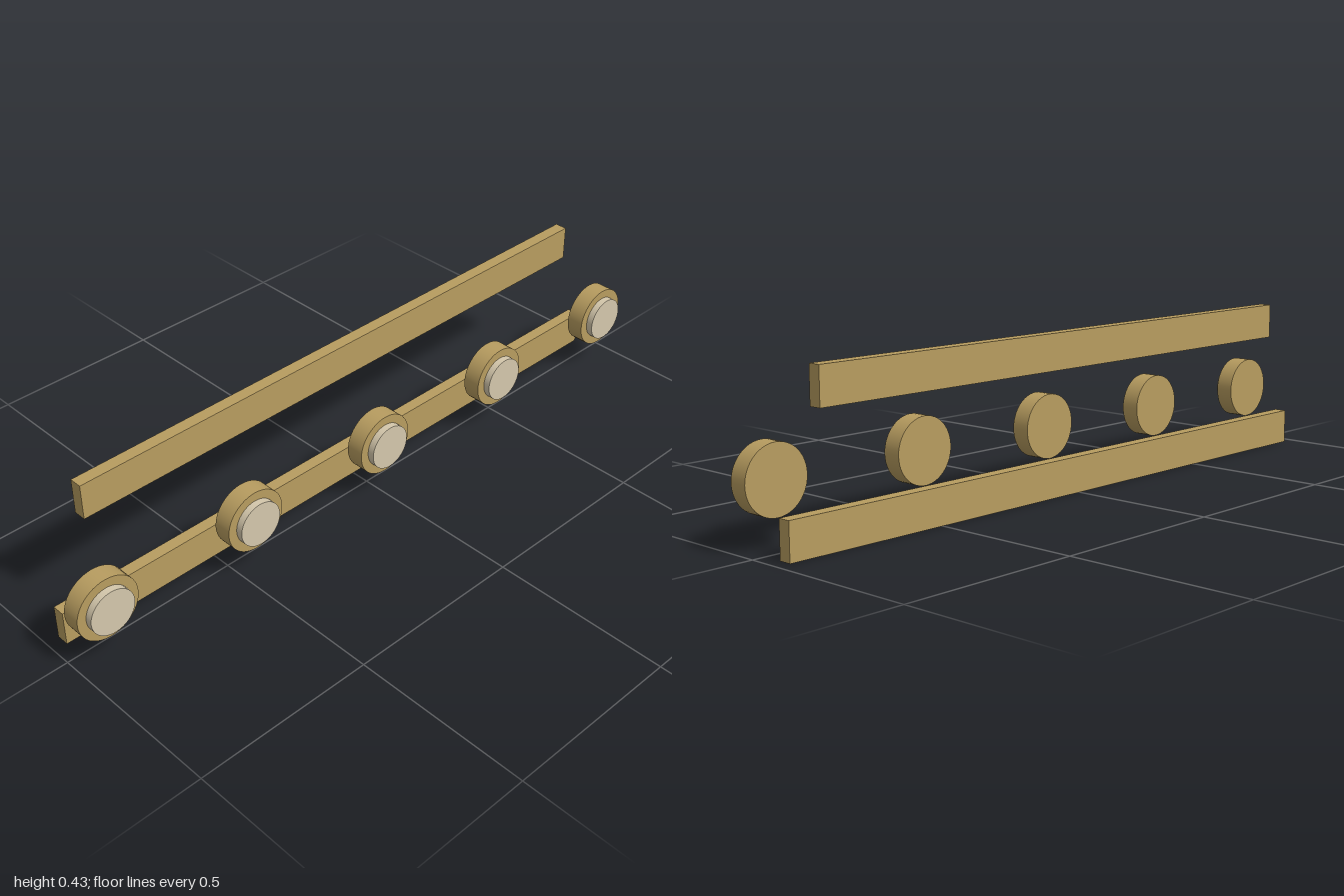
import * as THREE from 'three';

export function createModel() {
  const model = new THREE.Group();
  model.name = 'lampRail';

  const brass = new THREE.MeshStandardMaterial({ color: 0xb89d60 });
  brass.name = 'brass';
  const cream = new THREE.MeshStandardMaterial({ color: 0xd5c8ac });
  cream.name = 'cream';

  const add = (parent, name, geometry, material, x, y, z) => {
    const mesh = new THREE.Mesh(geometry, material);
    mesh.name = name;
    mesh.position.set(x, y, z);
    parent.add(mesh);
  };

  // Two flat horizontal rails at the back, the lower one longer
  add(model, 'lowerRail', new THREE.BoxGeometry(1.928, 0.098, 0.035), brass, 0, 0.049, -0.0705);
  add(model, 'upperRail', new THREE.BoxGeometry(1.738, 0.098, 0.035), brass, 0, 0.385, -0.0705);

  // Round lamps facing forward: a brass housing with a smaller lens
  const housing = new THREE.CylinderGeometry(0.088, 0.088, 0.051, 48).rotateX(Math.PI / 2);
  const lens = new THREE.CylinderGeometry(0.063, 0.063, 0.02, 48).rotateX(Math.PI / 2);
  for (let i = -2; i <= 2; i++) {
    const lamp = new THREE.Group();
    lamp.name = 'lamp' + (i + 3);
    lamp.position.set(i * 0.456, 0.165, 0);
    add(lamp, 'housing', housing, brass, 0, 0, 0.0445);
    add(lamp, 'lens', lens, cream, 0, 0, 0.0795);
    model.add(lamp);
  }

  return model;
}
